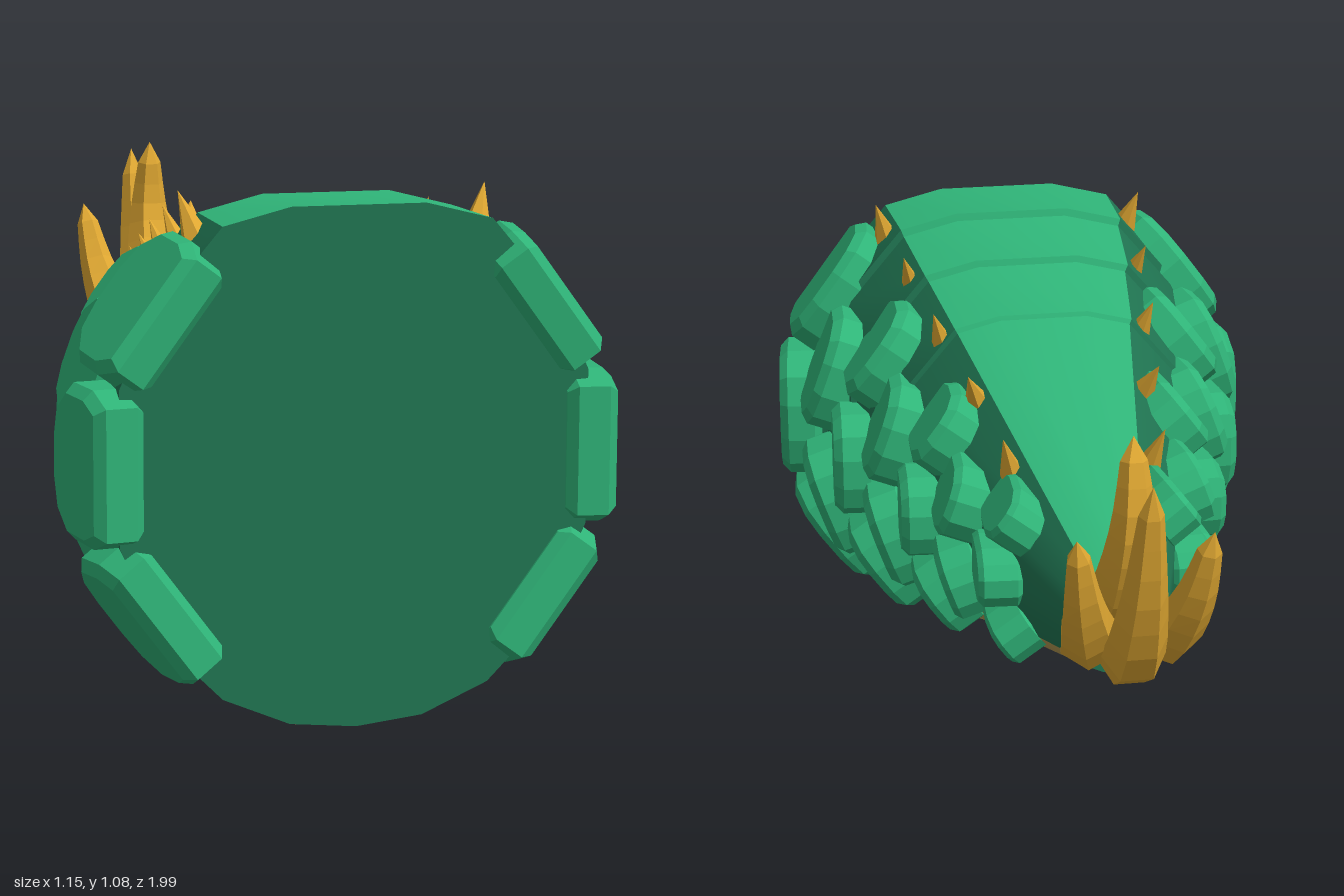
import * as THREE from 'three';
import { toCreasedNormals } from 'three/addons/utils/BufferGeometryUtils.js';

const mat = (color, flatShading = true) =>
  new THREE.MeshStandardMaterial({ color, flatShading, side: THREE.DoubleSide });
const V = (x, y, z) => new THREE.Vector3(x, y, z);

// Body rings: z, half height, centre y (the first bands overlap in small steps)
const RINGS = [
  [0.97, 0.532, 0.537], [0.74, 0.515, 0.555], [0.735, 0.503, 0.55], [0.51, 0.465, 0.555],
  [0.505, 0.45, 0.555], [0.28, 0.395, 0.56], [0.275, 0.385, 0.56], [-0.63, 0.115, 0.565],
];
// Right half of the cross-section, top to bottom, for a half height of 1
const HALF = [
  [0.263, 1], [0.526, 0.934], [0.79, 0.625], [0.92, 0.343], [0.92, -0.258],
  [0.751, -0.634], [0.526, -0.859], [0.263, -0.972], [0, -1],
];
const mirror = (arc) => arc.map(([x, y]) => [-x, y]).reverse();

// Sweep an open arc of the cross-section along the rings
function sweep(arc) {
  const pos = [], index = [], n = arc.length;
  for (const [z, s, cy] of RINGS) for (const [x, y] of arc) pos.push(x * s, cy + y * s, z);
  for (let i = 0; i < RINGS.length - 1; i++) {
    for (let j = 0; j < n - 1; j++) {
      const a = i * n + j, c = a + n;
      index.push(a, a + 1, c, a + 1, c + 1, c);
    }
  }
  const g = new THREE.BufferGeometry();
  g.setAttribute('position', new THREE.Float32BufferAttribute(pos, 3));
  g.setIndex(index);
  return toCreasedNormals(g, 0.45);
}

// Flat cap closing one end of the body
function cap([z, s, cy], back) {
  const loop = [...HALF, ...mirror(HALF.slice(0, -1))];
  const g = new THREE.ShapeGeometry(new THREE.Shape(loop.map(([x, y]) => new THREE.Vector2(x * s, y * s))));
  if (back) g.rotateY(Math.PI);
  return g.translate(0, cy, z);
}

// Thick scale: straight in front, rounded behind, x across, y backwards, z outwards
function scaleGeometry(w, len, thick) {
  const bevel = Math.min(0.02, w * 0.09), h = w / 2 - bevel, l = len - bevel;
  const outline = [
    [-h * 0.85, 0], [h * 0.85, 0], [h, l * 0.25], [h, l * 0.68], [h * 0.72, l * 0.92], [h * 0.3, l],
    [-h * 0.3, l], [-h * 0.72, l * 0.92], [-h, l * 0.68], [-h, l * 0.25],
  ];
  return new THREE.ExtrudeGeometry(new THREE.Shape(outline.map((p) => new THREE.Vector2(...p))), {
    depth: thick - bevel, bevelEnabled: true, bevelSize: bevel, bevelThickness: bevel, bevelSegments: 1,
  });
}

// Curved claw: a tube whose rings swell and then narrow to a blunt tip
function clawGeometry(points, radius) {
  const curve = new THREE.CatmullRomCurve3(points), seg = 10, sides = 6;
  const g = new THREE.TubeGeometry(curve, seg, radius, sides);
  const p = g.attributes.position, v = V(0, 0, 0);
  for (let i = 0; i <= seg; i++) {
    const t = i / seg, c = curve.getPointAt(t);
    const k = i === seg ? 0 : t < 0.3 ? 0.8 + t * 0.66 : 1 - 0.72 * ((t - 0.3) / 0.7);
    for (let j = 0; j <= sides; j++) {
      const n = i * (sides + 1) + j;
      v.fromBufferAttribute(p, n).sub(c).multiplyScalar(k).add(c);
      p.setXYZ(n, v.x, v.y, v.z);
    }
  }
  return g;
}

export function createModel() {
  const model = new THREE.Group();
  const green = mat(0x2fb478), skin = mat(0x2fb478, false), dark = mat(0x207552, false);
  const belly = mat(0xb89d55, false), gold = mat(0xe0a832);
  const add = (name, geometry, material, parent = model) => {
    const m = new THREE.Mesh(geometry, material);
    m.name = name;
    parent.add(m);
    return m;
  };
  const group = (name) => {
    const g = new THREE.Group();
    g.name = name;
    model.add(g);
    return g;
  };

  // Tapered body
  const side = HALF.slice(1, 6), under = HALF.slice(5);
  add('backStrip', sweep([...mirror(HALF.slice(0, 2)), ...HALF.slice(0, 2)].sort((a, b) => a[0] - b[0])), skin);
  add('leftFlank', sweep(side), dark);
  add('rightFlank', sweep(mirror(side)), dark);
  add('belly', sweep([...under, ...mirror(under).slice(1)]), belly);
  add('frontCap', cap(RINGS[0], false), dark);
  add('rearCap', cap(RINGS[RINGS.length - 1], true), dark);

  // Overlapping scales in staggered rows of three and two: front z, rear z, outer radius, width
  const scales = group('scales');
  const rows = [
    [1.0, 0.75, 0.58, 0.32], [0.77, 0.52, 0.535, 0.28], [0.56, 0.34, 0.488, 0.25],
    [0.39, 0.16, 0.43, 0.24], [0.18, -0.03, 0.377, 0.19], [0.01, -0.21, 0.32, 0.17],
    [-0.2, -0.42, 0.262, 0.13],
  ];
  rows.forEach(([z0, z1, radius, width], i) => {
    const thick = 0.085, tilt = i ? 0.08 : 0.13;
    const geometry = scaleGeometry(width, z0 - z1, thick);
    const angles = i % 2 ? [0.35, -0.35] : [0.64, 0, -0.64];
    for (const angle of angles) for (const a of [angle, Math.PI - angle]) {
      const out = V(Math.cos(a), Math.sin(a), 0), back = V(0, 0, -1);
      const across = back.clone().cross(out);
      const rear = back.clone().multiplyScalar(Math.cos(tilt)).addScaledVector(out, Math.sin(tilt));
      const normal = across.clone().cross(rear);
      const m = add('scale', geometry, green, scales);
      m.quaternion.setFromRotationMatrix(new THREE.Matrix4().makeBasis(across, rear, normal));
      m.position.set(0, 0.555 + i * 0.002, z0 - (i ? 0 : 0.02))
        .addScaledVector(out, radius - thick - (z0 - z1) * Math.sin(tilt));
    }
  });

  // Two rows of small spikes along the back: base x, y, z and tip y, z
  const spikes = group('spikes');
  const spots = [
    [0.295, 0.99, 0.825, 1.088, 0.79], [0.262, 0.925, 0.59, 1.03, 0.53], [0.228, 0.87, 0.32, 0.97, 0.275],
    [0.188, 0.82, 0.065, 0.905, 0.01], [0.15, 0.735, -0.19, 0.845, -0.24],
  ];
  for (const [x, y, z, tipY, tipZ] of spots) for (const s of [-1, 1]) {
    const base = V(s * x, y, z), dir = V(s * (x + 0.03), tipY, tipZ).sub(base);
    const g = new THREE.ConeGeometry(0.032, dir.length(), 6).translate(0, dir.length() / 2, 0);
    const m = add('spike', g, gold, spikes);
    m.position.copy(base);
    m.quaternion.setFromUnitVectors(V(0, 1, 0), dir.normalize());
  }

  // Tuft of upward curving claws at the tail end
  const claws = group('claws');
  add('upperClaw', clawGeometry(
    [V(0, 0.6, -0.59), V(0, 0.68, -0.7), V(0, 0.85, -0.785), V(0, 1.035, -0.775)], 0.075), gold, claws);
  add('lowerClaw', clawGeometry(
    [V(0, 0.51, -0.6), V(0, 0.55, -0.77), V(0, 0.72, -0.89), V(0, 1.0, -0.975)], 0.07), gold, claws);
  for (const s of [-1, 1]) {
    add('sideClaw', clawGeometry(
      [V(s * 0.05, 0.56, -0.59), V(s * 0.08, 0.58, -0.73), V(s * 0.115, 0.7, -0.84), V(s * 0.14, 0.87, -0.91)],
      0.068), gold, claws);
  }
  return model;
}
